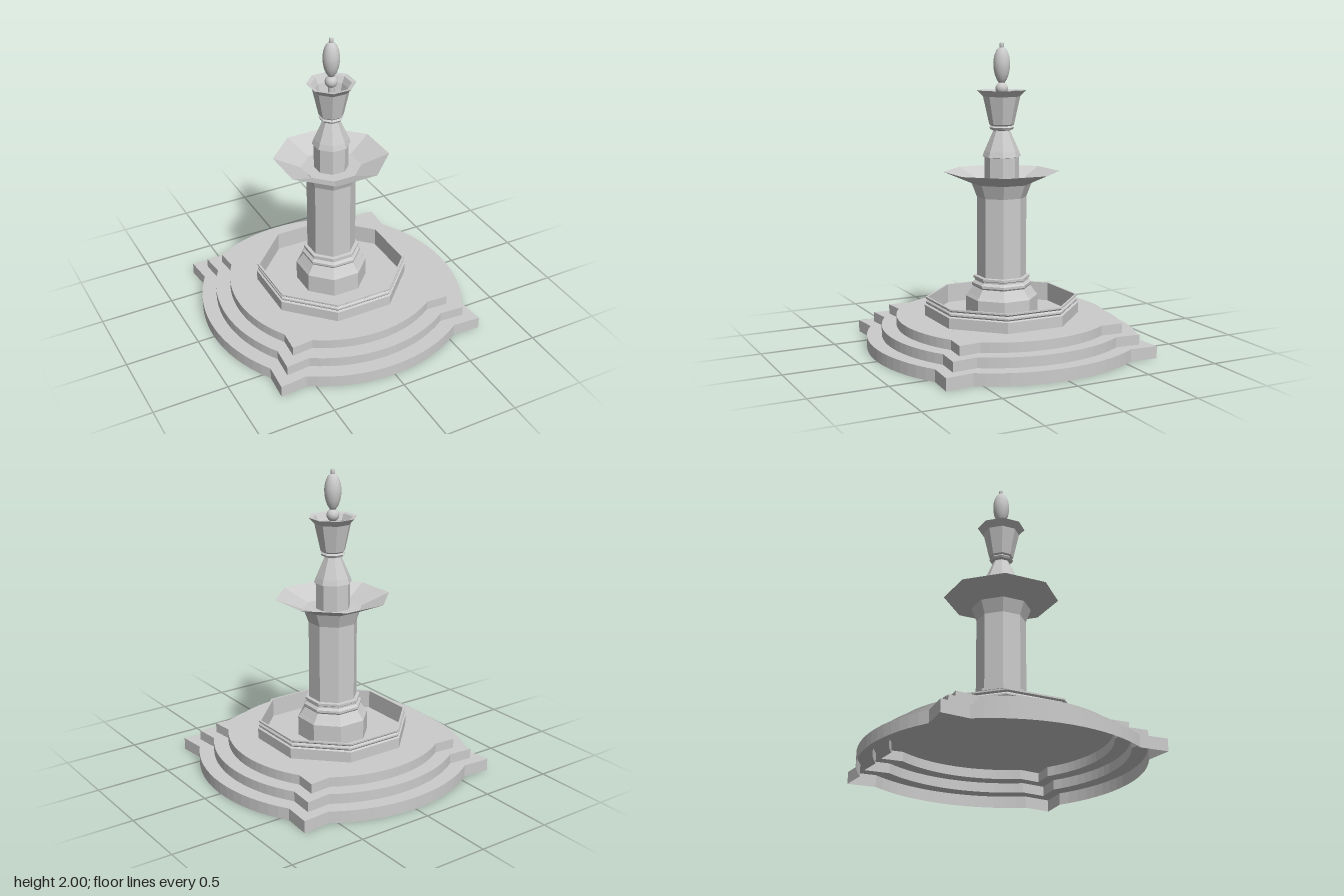
import * as THREE from 'three';

const flat = new THREE.MeshStandardMaterial({ color: 0xcccccc, flatShading: true, side: THREE.DoubleSide });
const smooth = new THREE.MeshStandardMaterial({ color: 0xcccccc, side: THREE.DoubleSide });

// Octagonal turning; profile radii are centre-to-flat distances
function octagon(name, profile) {
  const pts = profile.map(([r, y]) => new THREE.Vector2(r / Math.cos(Math.PI / 8), y));
  const mesh = new THREE.Mesh(new THREE.LatheGeometry(pts, 8, Math.PI / 8), flat);
  mesh.name = name;
  return mesh;
}

function round(name, profile, segments = 20) {
  const pts = profile.map(([r, y]) => new THREE.Vector2(r, y));
  const mesh = new THREE.Mesh(new THREE.LatheGeometry(pts, segments), smooth);
  mesh.name = name;
  return mesh;
}

// Plan of a step: four bowed sides meeting at pointed corners
function stepOutline() {
  const R = 1.02, offset = 0.134, half = Math.asin(0.552 / R), n = 16;
  const side = [];
  for (let i = 0; i <= n; i++) {
    const a = half * (2 * i / n - 1);
    side.push([R * Math.sin(a), R * Math.cos(a) - offset]);
  }
  side.push([0.74, 0.737]);
  const outline = [];
  for (let k = 0; k < 4; k++) {
    for (let [x, z] of side) {
      for (let j = 0; j < k; j++) [x, z] = [z, -x];
      outline.push([x, z]);
    }
  }
  return outline;
}

// Hollow stepped shell: the outline is scaled inwards at each riser
function steps() {
  const outline = stepOutline(), n = outline.length;
  const rings = [[1, 0], [1, 0.08], [0.89, 0.08], [0.89, 0.146], [0.78, 0.146], [0.78, 0.21], [0, 0.21]];
  const pos = [], index = [];
  for (const [s, y] of rings) for (const [x, z] of outline) pos.push(x * s, y, z * s);
  for (let r = 0; r < rings.length - 1; r++) {
    for (let i = 0; i < n; i++) {
      const a = r * n + i, b = r * n + (i + 1) % n;
      index.push(a, b, a + n);
      if (rings[r + 1][0] > 0) index.push(b, b + n, a + n);
    }
  }
  const geo = new THREE.BufferGeometry();
  geo.setAttribute('position', new THREE.Float32BufferAttribute(pos, 3));
  geo.setIndex(index);
  geo.computeVertexNormals();
  const mesh = new THREE.Mesh(geo, flat);
  mesh.name = 'steps';
  return mesh;
}

export function createModel() {
  const group = new THREE.Group();
  group.name = 'fountain';
  group.add(steps());

  // Lower pool wall with moulded rim
  group.add(octagon('poolWall', [
    [0.472, 0.21], [0.472, 0.28], [0.458, 0.286], [0.465, 0.295], [0.465, 0.305], [0.455, 0.315],
    [0.466, 0.325], [0.466, 0.335], [0.452, 0.335], [0.452, 0.21],
  ]));

  // Pedestal with stacked mouldings
  group.add(octagon('pedestal', [
    [0.22, 0.21], [0.22, 0.34], [0.205, 0.36], [0.175, 0.405], [0.182, 0.415], [0.182, 0.43],
    [0.165, 0.445], [0.165, 0.455], [0.172, 0.46], [0.172, 0.475], [0.15, 0.478],
  ]));

  // Main column flaring out under the bowl
  group.add(octagon('column', [[0.15, 0.475], [0.15, 1.0], [0.182, 1.09], [0, 1.09]]));

  // Thin open bowl
  group.add(octagon('upperBowl', [[0.18, 1.088], [0.35, 1.165]]));

  // Upper shaft and tapering neck
  group.add(octagon('upperShaft', [
    [0.105, 1.09], [0.105, 1.262], [0.116, 1.265], [0.105, 1.3], [0.052, 1.43], [0.05, 1.44],
  ]));

  // Open vase, with an inner skin and floor
  group.add(octagon('vase', [
    [0.05, 1.435], [0.068, 1.442], [0.075, 1.455], [0.065, 1.465], [0.075, 1.475], [0.112, 1.655],
    [0.147, 1.695], [0.12, 1.69], [0.1, 1.65], [0.06, 1.48], [0, 1.48],
  ]));

  // Finial: stem, ball and bud
  group.add(round('finialStem', [[0.02, 1.48], [0.02, 1.76]], 12));
  const ball = new THREE.Mesh(new THREE.SphereGeometry(0.041, 20, 12), smooth);
  ball.name = 'finialBall';
  ball.position.y = 1.705;
  group.add(ball);
  group.add(round('finialBud', [
    [0, 1.738], [0.018, 1.742], [0.034, 1.765], [0.047, 1.80], [0.054, 1.84], [0.055, 1.875],
    [0.049, 1.915], [0.036, 1.95], [0.02, 1.968], [0, 1.972],
  ]));
  group.add(round('finialTip', [[0.01, 1.96], [0.014, 1.975], [0.014, 1.995], [0.008, 2.0], [0, 2.0]], 12));
  return group;
}
